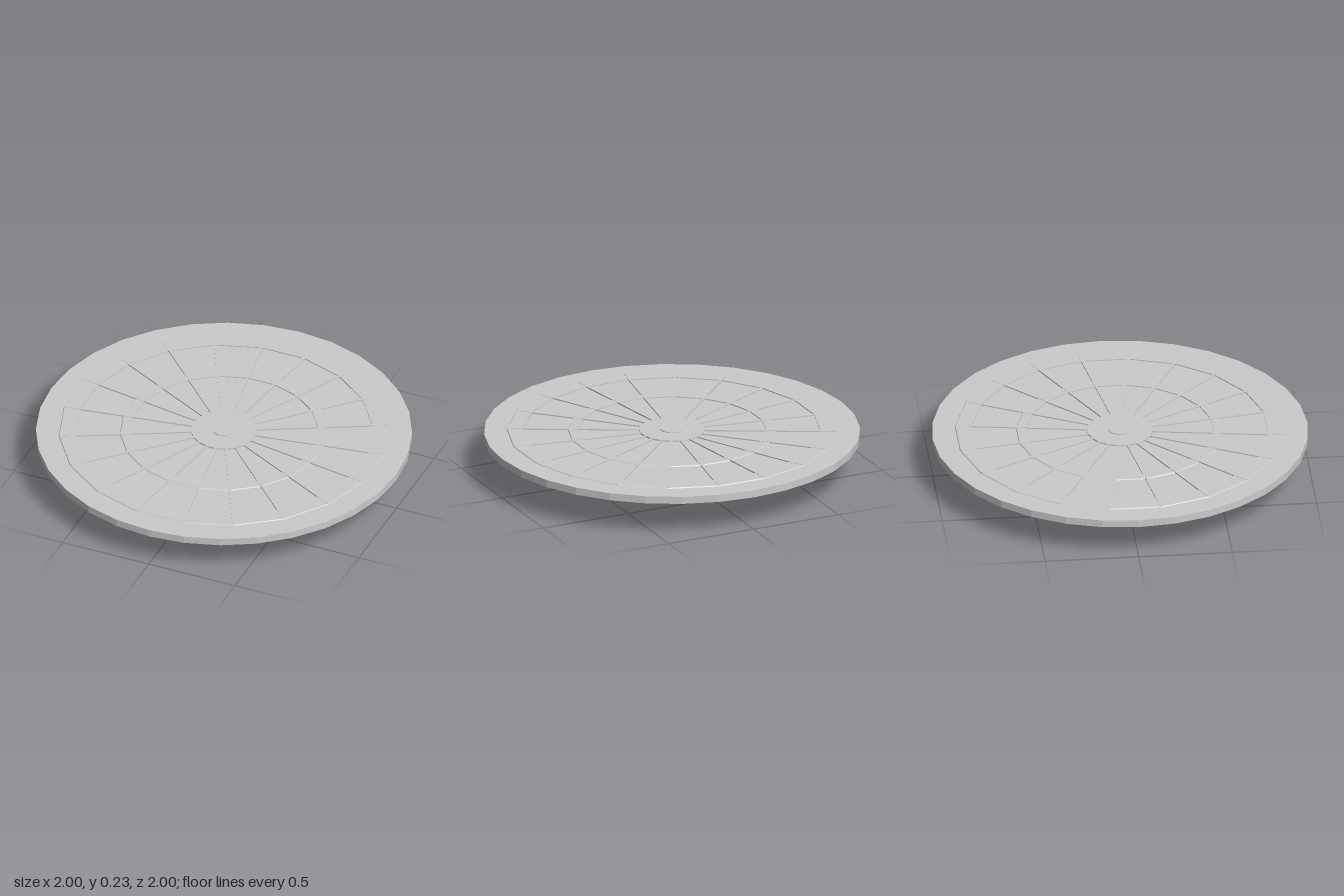
import * as THREE from 'three';

const SIDES = 20;
const STEP = (Math.PI * 2) / SIDES;
const START = STEP / 2; // flat sides face the axes

export function createModel() {
  const model = new THREE.Group();
  model.name = 'dish';
  const material = new THREE.MeshStandardMaterial({ color: 0xcccccc, flatShading: true });

  const add = (name, geometry, y = 0) => {
    const mesh = new THREE.Mesh(geometry, material);
    mesh.name = name;
    mesh.position.y = y;
    model.add(mesh);
    return mesh;
  };

  // Flat outer plate and the tapered body beneath it
  add('rim', new THREE.CylinderGeometry(1, 1, 0.04, 32), 0.2);
  add('body', new THREE.CylinderGeometry(0.88, 0.18, 0.18, SIDES, 1, false, START), 0.09);

  // Low raised bands on the top face, closed by their inner and outer walls
  const band = (name, inner, outer) => {
    const profile = [
      new THREE.Vector2(outer, 0.219),
      new THREE.Vector2(outer - 0.004, 0.225),
      new THREE.Vector2(inner, 0.225),
      new THREE.Vector2(inner, 0.219),
    ];
    add(name, new THREE.LatheGeometry(profile, SIDES, START));
  };
  band('outerBand', 0.79, 0.88);
  band('middleBand', 0.5, 0.555);

  // Thin spokes from the hub to each corner of the outer band
  for (let i = 0; i < SIDES; i++) {
    const spoke = new THREE.BoxGeometry(0.014, 0.008, 0.71);
    spoke.translate(0, 0.2225, 0.52);
    add('spoke', spoke).rotation.y = START + i * STEP;
  }

  // Hub and its small centre button
  add('hub', new THREE.CylinderGeometry(0.175, 0.175, 0.008, SIDES, 1, false, START), 0.2235);
  add('centreButton', new THREE.CylinderGeometry(0.062, 0.062, 0.006, 10), 0.2285);

  return model;
}
